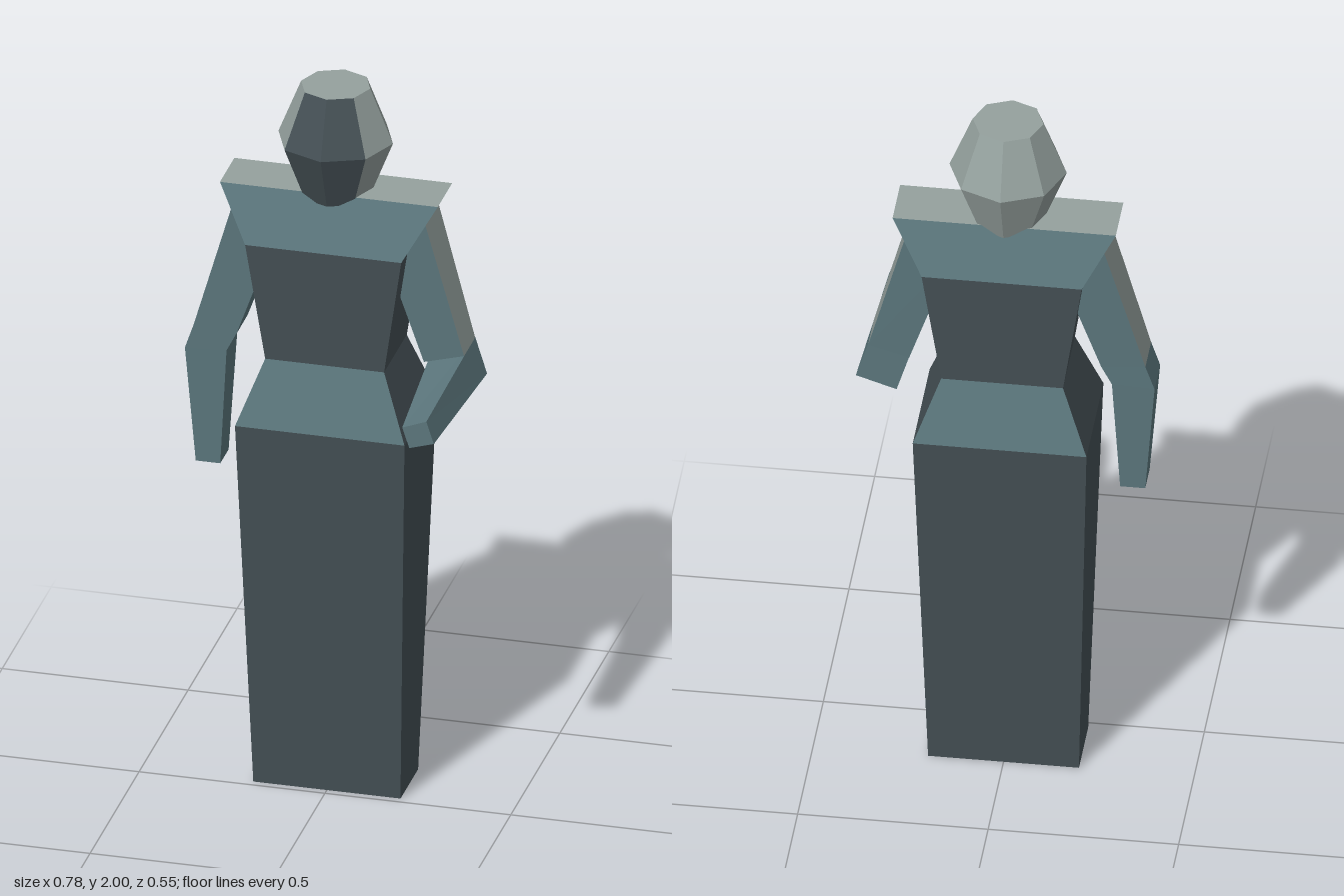
import * as THREE from 'three';

const DARK = 0, TEAL = 1, GREY = 2;

// Skins rings of 3D points; paint(segment, side) picks the colour, caps = [first, last]
function loft(name, rings, paint, caps, materials) {
  const faces = materials.map(() => []);
  const n = rings[0].length;
  for (let s = 0; s < rings.length - 1; s++) {
    for (let i = 0; i < n; i++) {
      const j = (i + 1) % n;
      const a = rings[s][i], b = rings[s][j], c = rings[s + 1][j], d = rings[s + 1][i];
      faces[paint(s, i)].push([a, b, c], [a, c, d]);
    }
  }
  const first = rings[0], last = rings[rings.length - 1];
  for (let i = 1; i < n - 1; i++) {
    faces[caps[0]].push([first[0], first[i + 1], first[i]]);
    faces[caps[1]].push([last[0], last[i], last[i + 1]]);
  }

  // Signed volume tells whether the skin is inside out
  let volume = 0;
  const center = first[0];
  for (const [a, b, c] of faces.flat()) {
    const [u, v, w] = [a, b, c].map(p => p.clone().sub(center));
    volume += u.dot(v.cross(w));
  }

  const geometry = new THREE.BufferGeometry();
  const positions = [];
  faces.forEach((list, m) => {
    if (!list.length) return;
    geometry.addGroup(positions.length / 3, list.length * 3, m);
    for (const [a, b, c] of list) {
      for (const p of volume < 0 ? [a, c, b] : [a, b, c]) positions.push(p.x, p.y, p.z);
    }
  });
  geometry.setAttribute('position', new THREE.Float32BufferAttribute(positions, 3));
  geometry.computeVertexNormals();
  const mesh = new THREE.Mesh(geometry, materials);
  mesh.name = name;
  return mesh;
}

const vec = (x, y, z) => new THREE.Vector3(x, y, z);

// Level rectangle for the body
const bodyRing = ([y, x, front, back]) =>
  [vec(-x, y, front), vec(x, y, front), vec(x, y, back), vec(-x, y, back)];

// Limb rectangle: outer edge, inner edge, front and back depth; side 3 is the outside
const limbRing = ([xo, yo, xi, yi, front, back]) =>
  [vec(xo, yo, front), vec(xi, yi, front), vec(xi, yi, back), vec(xo, yo, back)];

// Octagon with a corner facing forward
const headRing = ([y, r]) => Array.from({ length: 8 }, (_, i) => {
  const a = i * Math.PI / 4;
  return vec(Math.sin(a) * r, y, -0.11 + Math.cos(a) * r);
});

export function createModel() {
  const materials = [['darkCloth', 0x444f54], ['tealCloth', 0x5b767c], ['paleGrey', 0x95a19e]]
    .map(([name, color]) => {
      const m = new THREE.MeshStandardMaterial({ color });
      m.name = name;
      return m;
    });
  const group = new THREE.Group();
  group.name = 'robedFigure';
  const add = (name, rings, paint, caps) => group.add(loft(name, rings, paint, caps, materials));

  // Skirt and torso: teal bands front and back at the hips and the shoulders
  add('robe', [
    [0, 0.198, -0.02, -0.2],
    [1.06, 0.228, 0.053, -0.277],
    [1.24, 0.16, 0.003, -0.228],
    [1.57, 0.21, 0.018, -0.238],
    [1.715, 0.293, -0.04, -0.187],
  ].map(bodyRing), (s, i) => (s % 2 === 1 && i % 2 === 0 ? TEAL : DARK), [DARK, GREY]);

  // Head with a dark face on the two front sides
  add('head', [[1.69, 0.092], [1.848, 0.154], [2, 0.093]].map(headRing),
    (s, i) => (i === 0 || i === 7 ? DARK : GREY), [GREY, GREY]);

  // Right arm hanging down
  const upperArm = (s, i) => (s === 0 && i === 3 ? GREY : TEAL);
  add('rightArm', [
    [-0.255, 1.67, -0.135, 1.6, -0.043, -0.178],
    [-0.368, 1.285, -0.252, 1.275, -0.056, -0.168],
    [-0.392, 1.215, -0.28, 1.22, -0.058, -0.167],
    [-0.366, 0.885, -0.3, 0.885, -0.07, -0.155],
  ].map(limbRing), upperArm, [TEAL, TEAL]);

  // Left arm bent forward at the elbow
  add('leftUpperArm', [
    [0.255, 1.67, 0.135, 1.6, -0.043, -0.178],
    [0.36, 1.285, 0.252, 1.255, -0.054, -0.168],
  ].map(limbRing), upperArm, [TEAL, TEAL]);
  add('leftForearm', [
    [[0.36, 1.287], [0.252, 1.257], [0.285, 1.15], [0.392, 1.185]].map(([x, y]) => vec(x, y, -0.168)),
    [[0.346, 1.25], [0.281, 1.225], [0.3, 1.168], [0.366, 1.188]].map(([x, y]) => vec(x, y, 0.277)),
  ], () => TEAL, [TEAL, TEAL]);

  return group;
}
